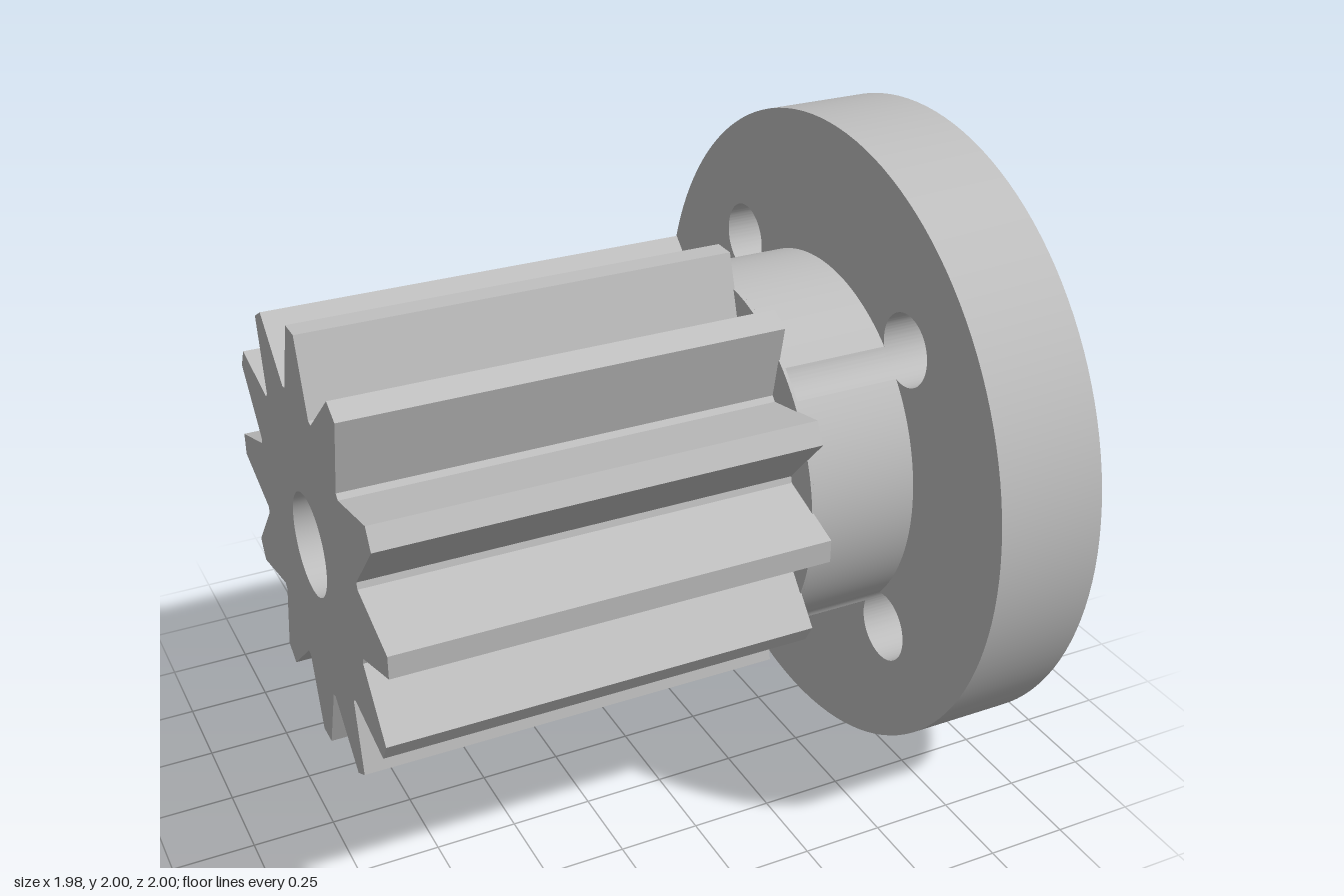
import * as THREE from 'three';
import { toCreasedNormals } from 'three/addons/utils/BufferGeometryUtils.js';

const BORE = 0.155, HUB_R = 0.57, FLANGE_R = 1;
const BOLT_R = 0.11, BOLT_DIST = 0.665;

const circle = (cx, cy, r) => new THREE.Path().absarc(cx, cy, r, 0, Math.PI * 2, false);

function disc(r) {
  const s = new THREE.Shape();
  s.absarc(0, 0, r, 0, Math.PI * 2, false);
  return s;
}

// Twelve straight-sided teeth with narrow tips and roots
function gearShape() {
  const n = 12, tipR = 0.667, rootR = 0.46, tipW = 0.035, rootW = 0.01;
  const pts = [];
  const add = (a, r, w) => pts.push(new THREE.Vector2(
    r * Math.cos(a) - w * Math.sin(a), r * Math.sin(a) + w * Math.cos(a)));
  for (let i = 0; i < n; i++) {
    const a = (i * 2 * Math.PI) / n, b = a + Math.PI / n;
    add(a, tipR, -tipW);
    add(a, tipR, tipW);
    add(b, rootR, -rootW);
    add(b, rootR, rootW);
  }
  return new THREE.Shape(pts);
}

// Round hub grooved where the bolt holes graze it
function hubShape() {
  const d = Math.acos((HUB_R ** 2 + BOLT_DIST ** 2 - BOLT_R ** 2) / (2 * HUB_R * BOLT_DIST));
  const g = Math.asin((HUB_R * Math.sin(d)) / BOLT_R);
  const s = new THREE.Shape();
  for (let k = 0; k < 4; k++) {
    const a = Math.PI / 4 + (k * Math.PI) / 2;
    s.absarc(BOLT_DIST * Math.cos(a), BOLT_DIST * Math.sin(a), BOLT_R,
      a + Math.PI + g, a + Math.PI - g, true);
    s.absarc(0, 0, HUB_R, a + d, a + Math.PI / 2 - d, false);
  }
  return s;
}

export function createModel() {
  const group = new THREE.Group();
  const grey = new THREE.MeshStandardMaterial({ color: 0xc0c0c0 });
  grey.name = 'grey metal';

  // Extrude a bored profile along the x axis
  function addPart(name, shape, x0, x1, segments) {
    shape.holes.push(circle(0, 0, BORE));
    const geo = new THREE.ExtrudeGeometry(shape, {
      depth: x1 - x0, bevelEnabled: false, curveSegments: segments });
    geo.rotateY(Math.PI / 2);
    geo.translate(x0, 1, 0);
    const mesh = new THREE.Mesh(toCreasedNormals(geo, 0.5), grey);
    mesh.name = name;
    group.add(mesh);
  }

  addPart('pinionGear', gearShape(), -0.99, 0.32, 32);
  addPart('hubCollar', disc(HUB_R), 0.316, 0.326, 64);
  addPart('hub', hubShape(), 0.326, 0.66, 20);

  // Flange with four bolt holes
  const flange = disc(FLANGE_R);
  for (let k = 0; k < 4; k++) {
    const a = Math.PI / 4 + (k * Math.PI) / 2;
    flange.holes.push(circle(BOLT_DIST * Math.cos(a), BOLT_DIST * Math.sin(a), BOLT_R));
  }
  addPart('flange', flange, 0.655, 0.99, 64);

  return group;
}
